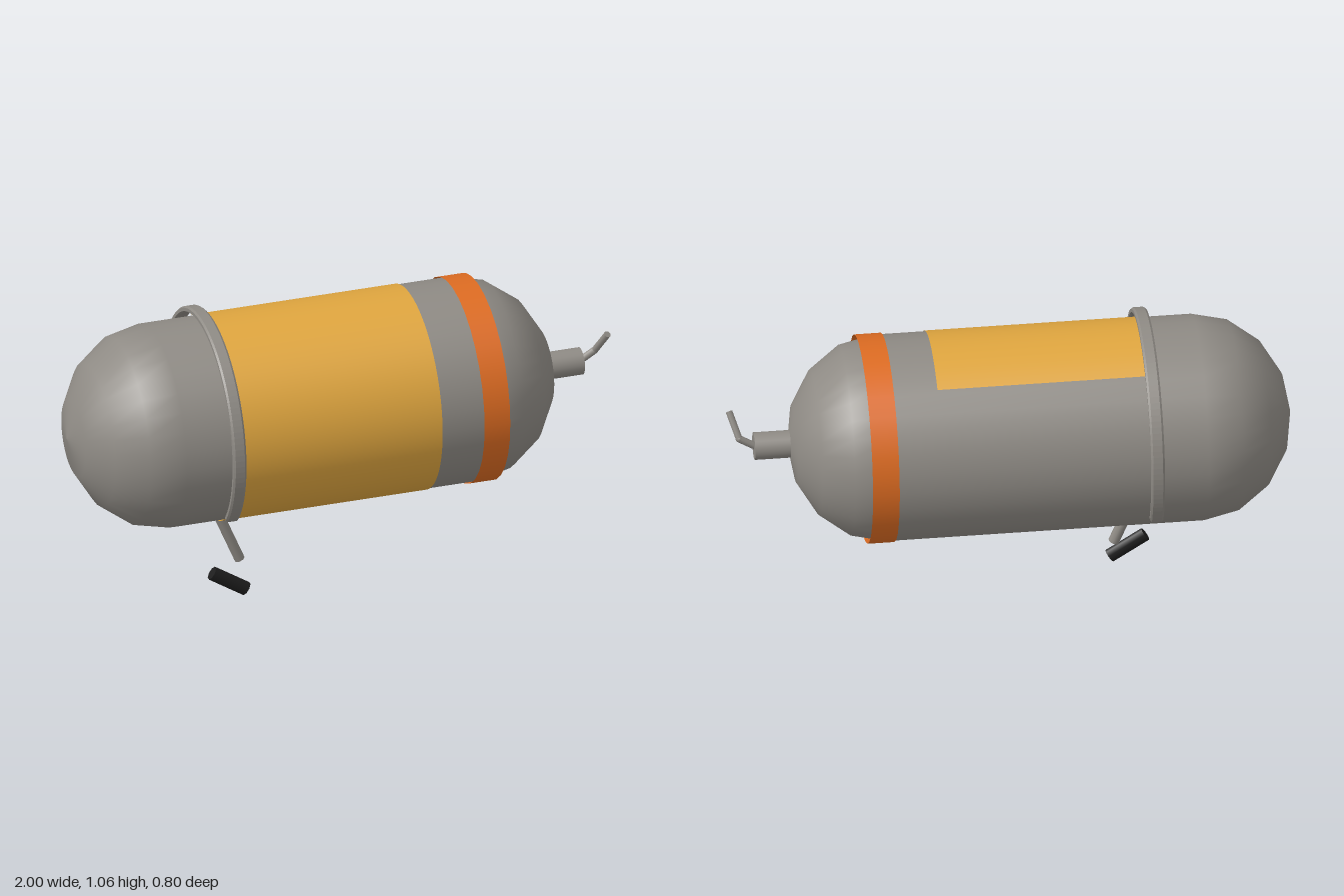
import * as THREE from 'three';

const mat = (name, color, side = THREE.FrontSide) => {
  const m = new THREE.MeshStandardMaterial({ color, side });
  m.name = name;
  return m;
};

export function createModel() {
  const grey = mat('steel grey', 0x8f8b85);
  const amber = mat('amber', 0xe0a63f, THREE.DoubleSide);
  const orange = mat('orange', 0xde6c22, THREE.DoubleSide);
  const black = mat('black rubber', 0x1e1e1e);

  const group = new THREE.Group();
  group.name = 'gasTank';
  const CY = 0.665, R = 0.365;

  const add = (name, geo, material, x = 0, y = 0, z = 0) => {
    const mesh = new THREE.Mesh(geo, material);
    mesh.name = name;
    mesh.position.set(x, y, z);
    group.add(mesh);
    return mesh;
  };
  // Round bar between two points
  const bar = (name, a, b, r, material, sides = 8) => {
    const from = new THREE.Vector3(...a), to = new THREE.Vector3(...b);
    const dir = to.clone().sub(from);
    const geo = new THREE.CylinderGeometry(r, r, dir.length(), sides);
    geo.rotateY(Math.PI / sides);
    const mesh = add(name, geo, material);
    mesh.position.copy(from).lerp(to, 0.5);
    mesh.quaternion.setFromUnitVectors(new THREE.Vector3(0, 1, 0), dir.normalize());
    return mesh;
  };
  // Open sleeve around the tank axis; angle 0 is the front, 90 the underside
  const sleeve = (name, x0, x1, r, startDeg, sweepDeg, material, segments) => {
    const geo = new THREE.CylinderGeometry(r, r, x1 - x0, segments, 1, true,
      THREE.MathUtils.degToRad(startDeg), THREE.MathUtils.degToRad(sweepDeg));
    geo.rotateZ(-Math.PI / 2);
    return add(name, geo, material, (x0 + x1) / 2, CY, 0);
  };

  // Tank with domed ends
  const profile = [];
  const STEPS = 4, DOME = 0.33;
  for (let i = 0; i <= STEPS; i++) {
    const t = (i / STEPS) * Math.PI / 2;
    profile.push(new THREE.Vector2(R * Math.sin(t), -0.67 - DOME * Math.cos(t)));
  }
  for (let i = STEPS; i >= 0; i--) {
    const t = (i / STEPS) * Math.PI / 2;
    profile.push(new THREE.Vector2(R * Math.sin(t), 0.457 + DOME * Math.cos(t)));
  }
  profile[0].x = profile[profile.length - 1].x = 0;
  const tank = new THREE.LatheGeometry(profile, 32);
  tank.rotateZ(-Math.PI / 2);
  add('tank', tank, grey, 0, CY, 0);

  // Painted label and band
  sleeve('label', -0.485, 0.275, 0.3675, -121, 229, amber, 64);
  sleeve('band', 0.43, 0.525, 0.37, 0, 360, orange, 32);

  // Open strap ring standing off the tank
  const a0 = THREE.MathUtils.degToRad(-29), a1 = THREE.MathUtils.degToRad(219.5);
  const arc = new THREE.Shape();
  arc.absarc(0, 0, 0.396, a0, a1, false);
  arc.absarc(0, 0, 0.384, a1, a0, true);
  arc.closePath();
  const strap = new THREE.ExtrudeGeometry(arc, {
    depth: 0.034, curveSegments: 40, bevelEnabled: true,
    bevelThickness: 0.007, bevelSize: 0.005, bevelSegments: 1,
  });
  strap.translate(0, 0, -0.017);
  strap.rotateY(Math.PI / 2);
  add('strapRing', strap, grey, -0.485, CY, 0);

  // Valve and bent spout
  bar('valve', [0.74, CY, 0], [0.905, CY, 0], 0.049, grey, 24);
  bar('spoutBase', [0.9, CY, 0], [0.957, 0.7, 0], 0.013, grey);
  bar('spoutTip', [0.957, 0.7, 0], [0.987, 0.784, 0.052], 0.013, grey);
  add('spoutElbow', new THREE.SphereGeometry(0.013, 10, 8), grey, 0.957, 0.7, 0);

  // Slanted lever and rubber grip underneath
  bar('lever', [-0.49, 0.382, 0.0635], [-0.38, 0.117, 0.0635], 0.0195, grey);
  const grip = new THREE.CylinderGeometry(1, 1, 0.152, 8);
  grip.rotateY(Math.PI / 8);
  grip.scale(0.026, 1, 0.0198);
  add('grip', grip, black, -0.435, 0.063, 0.115).rotation.z = THREE.MathUtils.degToRad(57);

  return group;
}
